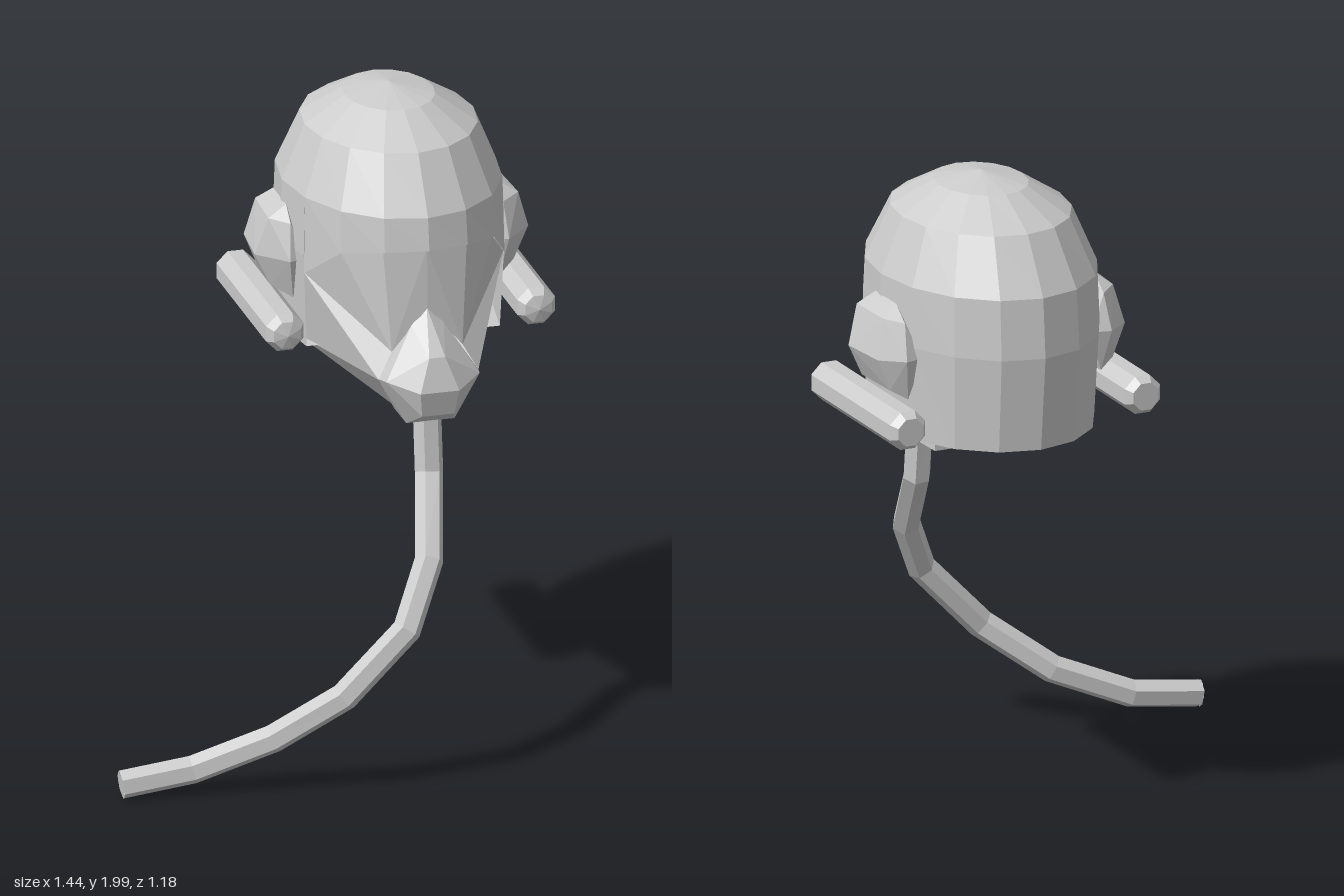
import * as THREE from 'three';
import { ConvexGeometry } from 'three/addons/geometries/ConvexGeometry.js';

const CX = 0.265; // the helmet sits to one side of the hose end
const material = new THREE.MeshStandardMaterial({ color: 0xcccccc, flatShading: true, side: THREE.DoubleSide });

function addMesh(parent, name, geometry) {
  const mesh = new THREE.Mesh(geometry, material);
  mesh.name = name;
  parent.add(mesh);
  return mesh;
}

function fromTriangles(points) {
  const g = new THREE.BufferGeometry().setFromPoints(points);
  g.computeVertexNormals();
  return g;
}

const V = (x, y, z) => new THREE.Vector3(x, y, z);
const mirror = (p) => V(-p.x, p.y, p.z);

// Sixteen-sided dome, cut away at the front along the brow
function shellGeometry() {
  const rows = [[2, 0, 0], [1.97, 0.137, 0.17], [1.89, 0.262, 0.32], [1.72, 0.332, 0.425], [1.535, 0.338, 0.44], [1.24, 0.325, 0.41]];
  const brow = [1.62, 1.615, 1.59, 1.48];
  const at = ([y, rx, rz], i) => {
    const a = (i * Math.PI) / 8;
    return V(rx * Math.sin(a), y, -0.15 + rz * Math.cos(a));
  };
  const pts = [];
  for (let i = -3; i < 13; i++) {
    const front = i < 3;
    const last = front ? 4 : 5;
    for (let r = 0; r < last; r++) {
      const low = (k) => at(front && r === 3 ? [brow[Math.abs(k)], 0.337, 0.44] : rows[r + 1], k);
      const a = at(rows[r], i), b = at(rows[r], i + 1), c = low(i), d = low(i + 1);
      pts.push(a, c, d);
      if (r > 0) pts.push(a, d, b);
    }
    // underside
    if (!front) pts.push(V(0, 1.24, -0.15), at(rows[5], i + 1), at(rows[5], i));
  }
  pts.push(V(0, 1.24, -0.15), at(rows[5], 3), at(rows[5], -3));
  return fromTriangles(pts);
}

// Builds the +x half from named corners and mirrors it
function halfAndMirror(p, faces) {
  const pts = [];
  for (const f of faces) {
    const [a, b, c] = f.split(' ').map((k) => V(...p[k]));
    pts.push(a, b, c, mirror(a), mirror(c), mirror(b));
  }
  return fromTriangles(pts);
}

const corners = {
  b0: [0, 1.62, 0.265], b1: [0.13, 1.615, 0.24], b2: [0.235, 1.59, 0.15], b3: [0.31, 1.48, 0.01],
  eye: [0.11, 1.3, 0.265], nose: [0, 1.43, 0.27],
  cheek: [0.155, 1.22, 0.28], chin: [0.08, 1.1, 0.22], side: [0.3, 1.24, -0.1],
  back: [0.25, 1.21, -0.35], backTop: [0.25, 1.24, -0.35],
  mid: [0, 1.1, 0.22], midBack: [0, 1.21, -0.35], midTop: [0, 1.24, -0.35],
};

// Convex part from corners listed for one side only
function mirroredHull(list) {
  const pts = list.map((c) => V(...c));
  return new ConvexGeometry([...pts, ...pts.filter((p) => p.x > 0).map(mirror)]);
}

export function createModel() {
  const model = new THREE.Group();
  model.name = 'helmetWithMask';
  const head = new THREE.Group();
  head.name = 'helmet';
  head.position.x = CX;
  model.add(head);

  addMesh(head, 'shell', shellGeometry());
  addMesh(head, 'visor', halfAndMirror(corners, ['nose eye b0', 'eye b1 b0', 'eye b2 b1', 'eye b3 b2']));
  addMesh(head, 'jaw', halfAndMirror(corners, [
    'eye cheek b3', 'cheek side b3', 'cheek chin side', 'chin back side', 'back backTop side',
    'chin mid midBack', 'chin midBack back', 'back midBack midTop', 'back midTop backTop',
  ]));

  // Breathing mask
  addMesh(head, 'mask', mirroredHull([
    [0, 1.43, 0.26], [0.05, 1.38, 0.27], [0.025, 1.31, 0.375], [0.155, 1.22, 0.27], [0.145, 1.23, 0.33],
    [0.06, 1.21, 0.405], [0.05, 1.13, 0.385], [0.075, 1.08, 0.3], [0.05, 1.05, 0.22], [0.09, 1.1, 0.22],
  ]));

  // Ear cups and side pods
  const ear = [
    [0.425, 1.5, -0.12], [0.41, 1.5, -0.29], [0.388, 1.62, -0.1], [0.38, 1.62, -0.27],
    [0.378, 1.4, -0.115], [0.37, 1.4, -0.29], [0.34, 1.5, -0.03], [0.34, 1.5, -0.345],
    [0.33, 1.655, -0.11], [0.33, 1.655, -0.25], [0.33, 1.61, -0.06], [0.33, 1.61, -0.31],
    [0.32, 1.37, -0.07], [0.32, 1.37, -0.31], [0.28, 1.5, -0.05], [0.28, 1.5, -0.33],
  ];
  const podProfile = [[0, -0.475], [0.045, -0.475], [0.063, -0.45], [0.063, 0.085], [0.045, 0.114], [0, 0.125]]
    .map(([r, y]) => new THREE.Vector2(r, y));
  for (const [s, label] of [[1, 'left'], [-1, 'right']]) {
    addMesh(head, label + 'EarCup', new ConvexGeometry(ear.map(([x, y, z]) => V(s * x, y, z))));
    const pod = addMesh(head, label + 'Pod', new THREE.LatheGeometry(podProfile, 8, Math.PI / 8));
    pod.rotation.x = Math.PI / 2;
    pod.position.set(s * 0.39, 1.325, 0);
  }

  // Hose, with one straight section between each pair of points
  const path = [
    [CX, 1.09, 0.265], [CX, 0.91, 0.285], [0.215, 0.7, 0.46], [0.12, 0.52, 0.55],
    [-0.07, 0.32, 0.535], [-0.265, 0.175, 0.45], [-0.5, 0.08, 0.395], [-0.72, 0.052, 0.385],
  ].map((p) => V(...p));
  const curve = new THREE.CatmullRomCurve3(path);
  curve.getPointAt = curve.getPoint;
  curve.getTangentAt = curve.getTangent;
  addMesh(model, 'hose', new THREE.TubeGeometry(curve, path.length - 1, 0.044, 6));
  const cap = addMesh(model, 'hoseEnd', new THREE.CircleGeometry(0.042, 6));
  cap.position.copy(path[path.length - 1]);
  cap.lookAt(cap.position.clone().add(curve.getTangent(1)));
  return model;
}
